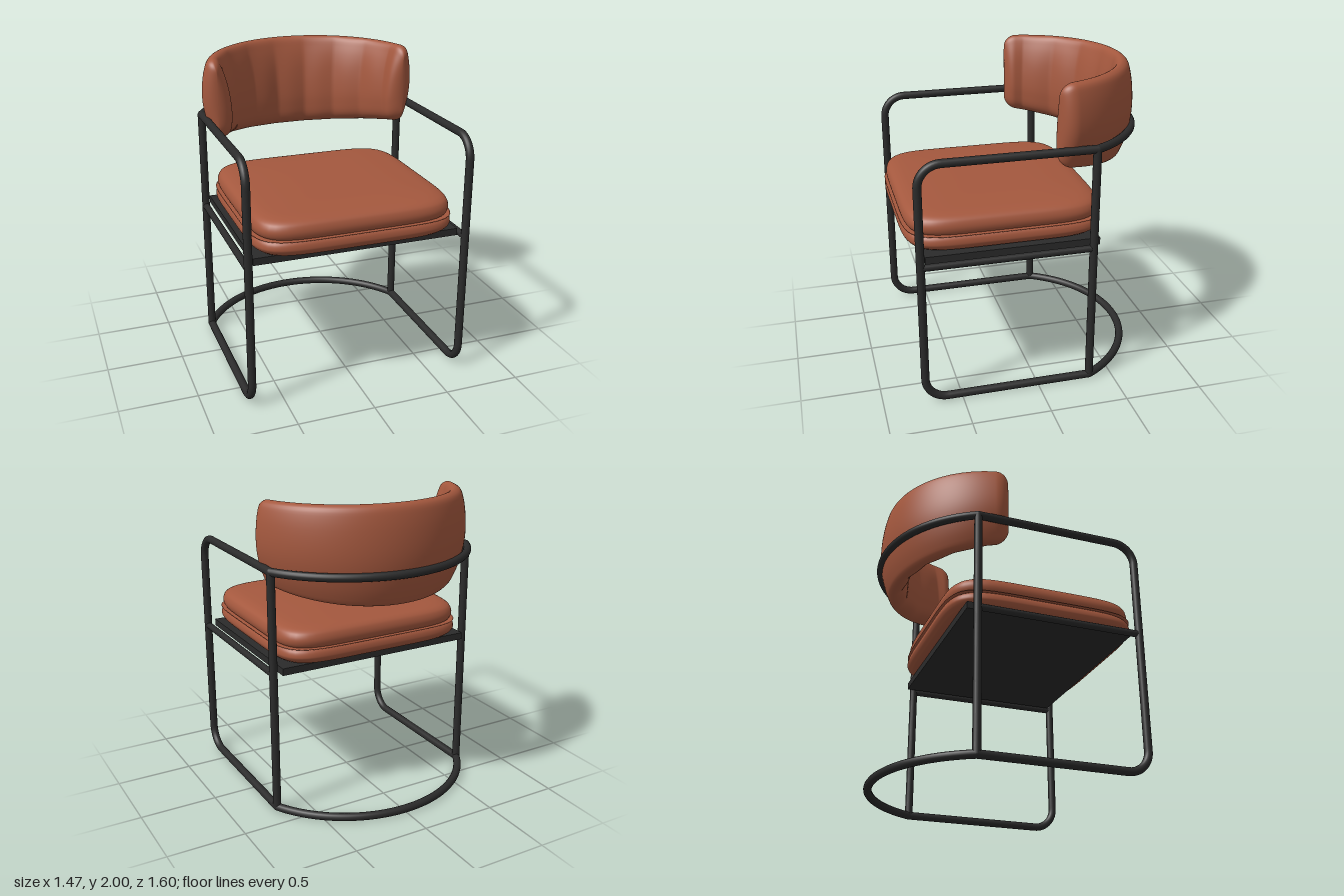
import * as THREE from 'three';
import { mergeVertices } from 'three/addons/utils/BufferGeometryUtils.js';

const R = 0.026;                        // frame tube radius
const SIDE = 0.709, FRONT = 0.735, REAR = -0.345, TOP = 1.59, LOW = 0.027;
const V = (x, y, z) => new THREE.Vector3(x, y, z);

export function createModel() {
  const chair = new THREE.Group();
  chair.name = 'armchair';
  const metal = new THREE.MeshStandardMaterial({ color: 0x2b2b2b });
  metal.name = 'black metal';
  const leather = new THREE.MeshStandardMaterial({ color: 0xa4583e });
  leather.name = 'tan leather';

  const add = (name, geometry, material, x = 0, y = 0, z = 0) => {
    const mesh = new THREE.Mesh(geometry, material);
    mesh.name = name;
    mesh.position.set(x, y, z);
    chair.add(mesh);
    return mesh;
  };

  // Side frames: arm, front leg and floor runner bent from one tube
  for (const [label, s] of [['left', 1], ['right', -1]]) {
    const x = s * SIDE, c = 0.14;
    const path = new THREE.CurvePath();
    const bend = (y, dy, from, to) => path.add(new THREE.CubicBezierCurve3(
      from, from.clone().lerp(V(x, y, FRONT), 0.55), to.clone().lerp(V(x, y, FRONT), 0.55), to));
    const p = [V(x, TOP, REAR), V(x, TOP, FRONT - c), V(x, TOP - c, FRONT),
      V(x, LOW + c, FRONT), V(x, LOW, FRONT - c), V(x, LOW, REAR)];
    path.add(new THREE.LineCurve3(p[0], p[1]));
    bend(TOP, -c, p[1], p[2]);
    path.add(new THREE.LineCurve3(p[2], p[3]));
    bend(LOW, c, p[3], p[4]);
    path.add(new THREE.LineCurve3(p[4], p[5]));
    add(label + 'SideFrame', new THREE.TubeGeometry(path, 200, R, 16), metal);

    add(label + 'RearLeg', new THREE.CylinderGeometry(R, R, TOP - LOW, 16), metal, x, (TOP + LOW) / 2, REAR);
    const rail = add(label + 'SeatRail', new THREE.CylinderGeometry(0.022, 0.022, FRONT - REAR, 16),
      metal, x, 0.943, (FRONT + REAR) / 2);
    rail.rotation.x = Math.PI / 2;
    for (const y of [TOP, LOW]) add(label + 'Joint', new THREE.SphereGeometry(R, 16, 12), metal, x, y, REAR);
  }

  // Curved tubes behind the backrest and on the floor
  const sag = 0.429, arcR = (SIDE * SIDE + sag * sag) / (2 * sag);
  const arcZ = REAR - sag + arcR, half = Math.asin(SIDE / arcR);
  const arc = [];
  for (let i = 0; i <= 32; i++) {
    const a = half * (i / 16 - 1);
    arc.push(V(arcR * Math.sin(a), 0, arcZ - arcR * Math.cos(a)));
  }
  const arcGeometry = new THREE.TubeGeometry(new THREE.CatmullRomCurve3(arc), 72, R, 16);
  add('backTube', arcGeometry, metal, 0, TOP, 0);
  add('floorTube', arcGeometry, metal, 0, LOW, 0);

  // Seat board and the two stacked cushions
  add('seatBoard', new THREE.BoxGeometry(1.34, 0.046, 1.1), metal, 0, 0.968, 0.15);
  add('lowerCushion', cushion(0.66, 0.637, [[0, 0.988], [0.6, 0.989], [0.9, 0.995], [0.965, 1.01],
    [0.995, 1.035], [1, 1.055], [0.99, 1.08], [0.965, 1.096], [0.92, 1.1], [0, 1.1]]), leather, 0, 0, 0.163);
  add('upperCushion', cushion(0.648, 0.625, [[0, 1.09], [0.91, 1.09], [0.965, 1.098], [0.99, 1.115],
    [1, 1.145], [0.99, 1.175], [0.965, 1.198], [0.91, 1.215], [0.8, 1.226], [0.5, 1.236], [0, 1.24]]),
    leather, 0, 0, 0.163);

  add('backrest', backrest(), leather, 0, 0, -0.03);
  return chair;
}

// Padded slab: a lathe profile whose round outline is squared off
function cushion(halfWidth, halfDepth, profile) {
  const points = profile.map(([s, y]) => new THREE.Vector2(s, y));
  const g = new THREE.LatheGeometry(new THREE.SplineCurve(points).getPoints(50)
    .map((p) => new THREE.Vector2(Math.max(p.x, 0), p.y)), 128);
  const pos = g.attributes.position, n = 6;
  for (let i = 0; i < pos.count; i++) {
    const x = pos.getX(i), z = pos.getZ(i), r = Math.hypot(x, z);
    if (r < 1e-6) continue;
    const k = 1 / Math.pow(Math.abs(x / r) ** n + Math.abs(z / r) ** n, 1 / n);
    pos.setX(i, x * k * halfWidth);
    pos.setZ(i, z * k * halfDepth);
  }
  return smooth(g);
}

// Wrap-around back pad: a padded section swept along an arc, fluted inside, rounded at the ends
function backrest() {
  // Section as [radius, height fraction], down the outside and up the inside
  const section = [[0.672, 1], [0.705, 0.975], [0.73, 0.87], [0.75, 0.6], [0.742, 0.36], [0.7, 0.1],
    [0.665, 0.005], [0.625, 0.01], [0.575, 0.08], [0.557, 0.25], [0.56, 0.45], [0.58, 0.68],
    [0.615, 0.88], [0.645, 0.98]];
  const loop = new THREE.CatmullRomCurve3(section.map(([r, h]) => V(r, h, 0)), true).getPoints(64).slice(0, -1);
  const steps = 160, end = THREE.MathUtils.degToRad(82), mid = 0.652, round = 0.085;
  const verts = [], index = [], m = loop.length;
  for (let i = 0; i <= steps; i++) {
    const a = -end * Math.cos(Math.PI * i / steps);
    const d = Math.min((end - Math.abs(a)) * mid / round, 1);
    const full = Math.sqrt(Math.max(0, 1 - (1 - d) ** 2));
    const trim = 0.08 * (1 - full);
    const low = 1.38 + 0.11 * (1 - Math.cos(a)) + trim;
    const high = 2 - 0.015 * (1 - Math.cos(a)) - trim;
    const groove = 0.016 * (1 - Math.abs(Math.cos(a * 9)));
    for (const p of loop) {
      const inner = THREE.MathUtils.clamp((mid - p.x) / 0.08, 0, 1);
      const r = mid + (p.x + groove * inner - mid) * full;
      verts.push(r * Math.sin(a), low + (high - low) * p.y, -r * Math.cos(a));
    }
  }
  for (let i = 0; i < steps; i++) {
    for (let j = 0; j < m; j++) {
      const a = i * m + j, b = i * m + (j + 1) % m;
      index.push(a, a + m, b, b, a + m, b + m);
    }
  }
  const g = new THREE.BufferGeometry();
  g.setAttribute('position', new THREE.Float32BufferAttribute(verts, 3));
  g.setIndex(index);
  return smooth(g);
}

// Weld seams and recompute soft normals
function smooth(geometry) {
  geometry.deleteAttribute('normal');
  geometry.deleteAttribute('uv');
  const g = mergeVertices(geometry, 1e-5);
  g.computeVertexNormals();
  return g;
}
